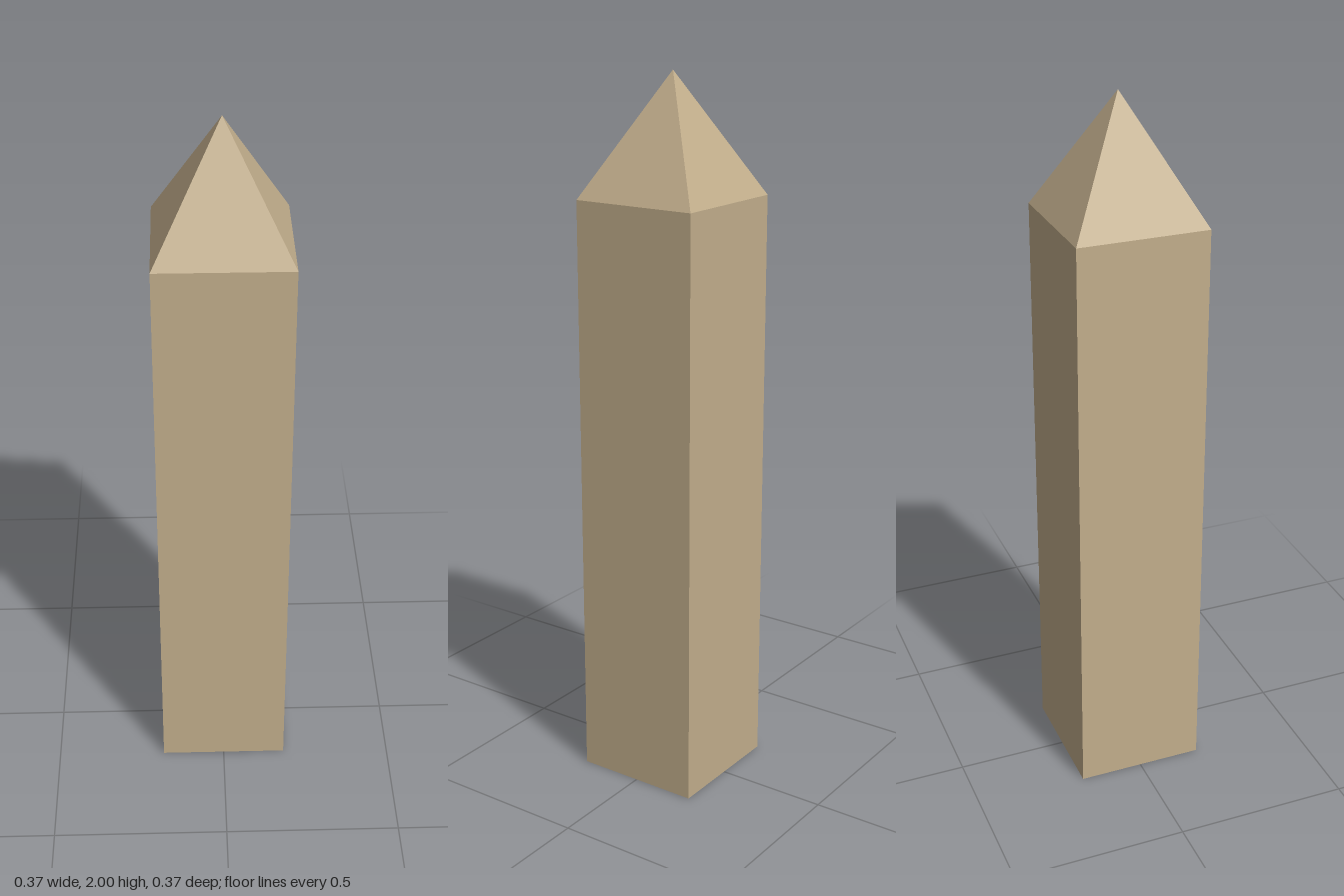
import * as THREE from 'three';

const WIDTH = 0.366;
const SHAFT_HEIGHT = 1.667;
const TIP_HEIGHT = 2 - SHAFT_HEIGHT;

export function createModel() {
  const model = new THREE.Group();
  model.name = 'obelisk';
  const stone = new THREE.MeshStandardMaterial({ color: 0xc2ae8c, flatShading: true });

  // Straight square shaft standing on the ground
  const shaft = new THREE.Mesh(new THREE.BoxGeometry(WIDTH, SHAFT_HEIGHT, WIDTH), stone);
  shaft.name = 'shaft';
  shaft.position.y = SHAFT_HEIGHT / 2;

  // Four-sided pyramid tip, turned so its sides line up with the shaft
  const tipGeometry = new THREE.ConeGeometry(WIDTH * Math.SQRT1_2, TIP_HEIGHT, 4, 1, true);
  tipGeometry.rotateY(Math.PI / 4);
  const tip = new THREE.Mesh(tipGeometry, stone);
  tip.name = 'pyramidTip';
  tip.position.y = SHAFT_HEIGHT + TIP_HEIGHT / 2;

  model.add(shaft, tip);
  return model;
}
